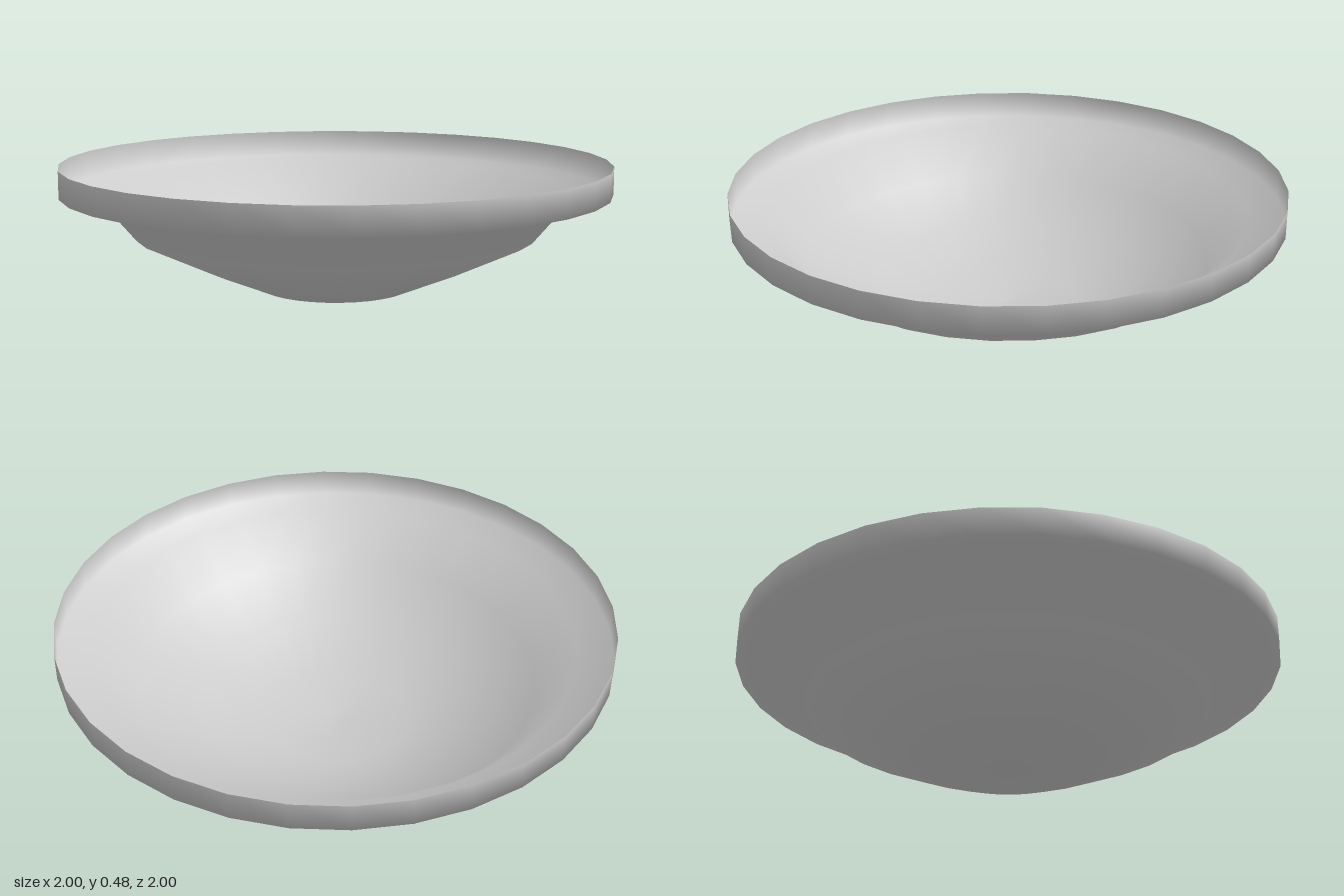
import * as THREE from 'three';

export function createModel() {
  const group = new THREE.Group();
  group.name = 'shallowBowl';

  // Thin shell: flattened base, sloping sides, flat flange and upright lip
  const profile = [
    [0, 0], [0.27, 0.015], [0.485, 0.105], [0.73, 0.22],
    [0.865, 0.38], [1, 0.38], [1, 0.48],
  ].map(([r, y]) => new THREE.Vector2(r, y));

  const bowl = new THREE.Mesh(
    new THREE.LatheGeometry(profile, 32),
    new THREE.MeshStandardMaterial({ color: 0xcccccc, side: THREE.DoubleSide })
  );
  bowl.name = 'bowl';
  group.add(bowl);
  return group;
}
